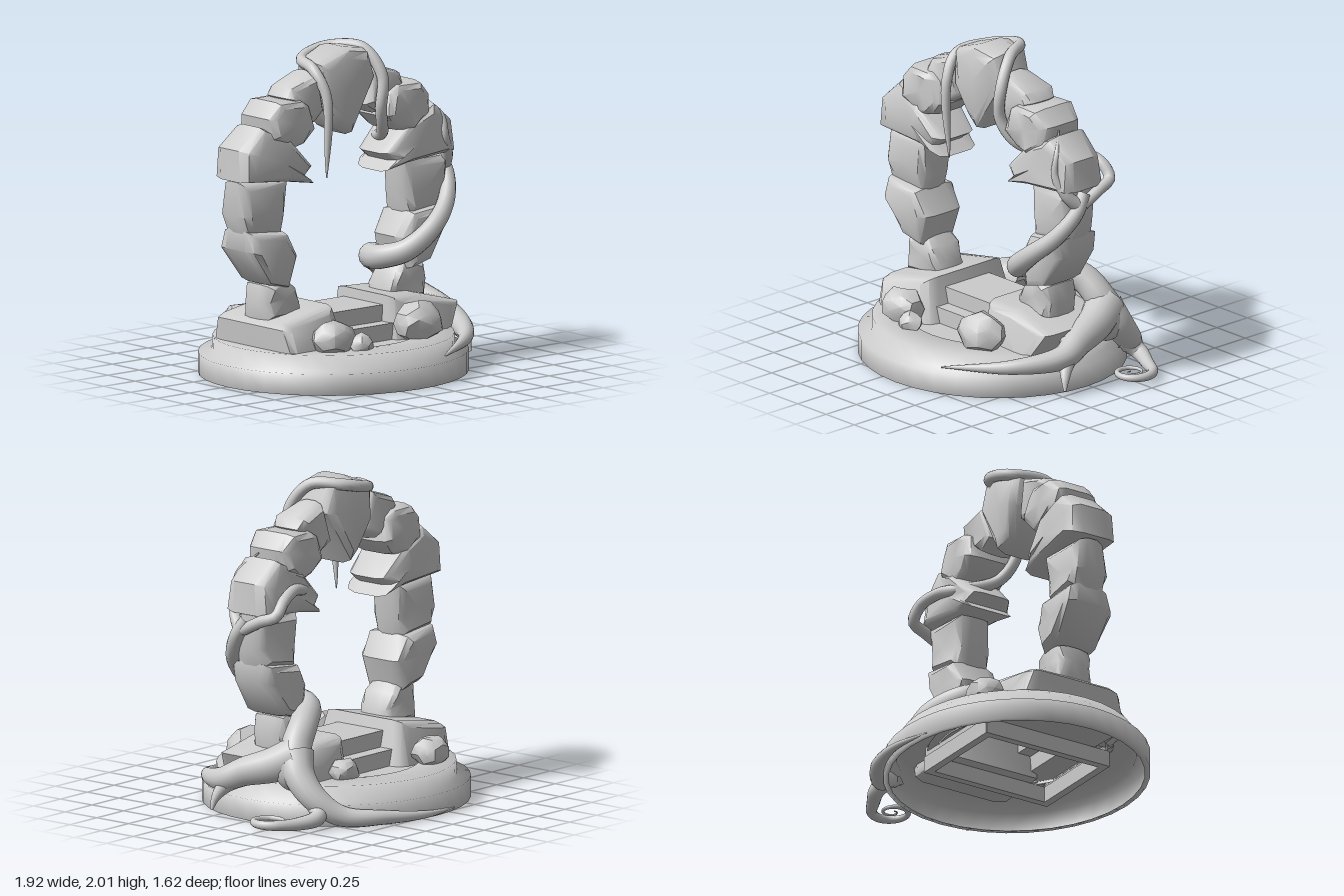
import * as THREE from 'three';
import { toCreasedNormals } from 'three/addons/utils/BufferGeometryUtils.js';

const grey = new THREE.MeshStandardMaterial({ color: 0xcccccc });
const greyOpen = new THREE.MeshStandardMaterial({ color: 0xcccccc, side: THREE.DoubleSide });
const axisX = -0.12; // the arch is symmetrical about this x

function add(parent, name, geometry, material = grey) {
  const mesh = new THREE.Mesh(geometry, material);
  mesh.name = name;
  parent.add(mesh);
  return mesh;
}

// Chiselled stone: a front outline swept through z, rounded in towards both faces.
function stone(outline, back, front) {
  const pts = outline.map(([x, y]) => new THREE.Vector2(x, y));
  if (THREE.ShapeUtils.isClockWise(pts)) pts.reverse();
  const n = pts.length;
  const mid = pts.reduce((s, p) => s.add(p), new THREE.Vector2()).divideScalar(n);
  const levels = [[back, 0.72], [back + 0.025, 0.92], [back + 0.08, 1], [front - 0.08, 1], [front - 0.025, 0.92], [front, 0.72]];
  const last = levels.length - 1;
  const pos = [], index = [];
  levels.forEach(([z, s], k) => pts.forEach((p, i) => {
    const tilt = 0.014 * Math.sin(i * 2.4 + mid.x * 9 + k);
    pos.push(mid.x + (p.x - mid.x) * s, mid.y + (p.y - mid.y) * s, z + tilt);
  }));
  pos.push(mid.x, mid.y, back, mid.x, mid.y, front);
  const hub = n * levels.length;
  for (let i = 0; i < n; i++) {
    const j = (i + 1) % n;
    for (let k = 0; k < last; k++) {
      const a = k * n + i, b = k * n + j;
      index.push(a, b, b + n, a, b + n, a + n);
    }
    index.push(hub, j, i, hub + 1, last * n + i, last * n + j);
  }
  const g = new THREE.BufferGeometry();
  g.setAttribute('position', new THREE.Float32BufferAttribute(pos, 3));
  g.setIndex(index);
  return toCreasedNormals(g, 0.75);
}

// Mound: a wide stone whose front and back lean inward with height.
function mound(outline, back, front) {
  const g = stone(outline, back, front);
  const pos = g.attributes.position;
  for (let i = 0; i < pos.count; i++) pos.setZ(i, pos.getZ(i) * (1.08 - 0.8 * (pos.getY(i) - 0.2)));
  return toCreasedNormals(g, 0.75);
}

// Tube through the points, tapering from radius r0 to r1.
function vine(points, r0, r1, power = 1) {
  const segments = 90, sides = 14;
  const curve = new THREE.CatmullRomCurve3(points.map(p => new THREE.Vector3(...p)));
  const g = new THREE.TubeGeometry(curve, segments, 1, sides);
  const pos = g.attributes.position, v = new THREE.Vector3();
  for (let i = 0; i <= segments; i++) {
    const c = curve.getPointAt(i / segments);
    const r = THREE.MathUtils.lerp(r0, r1, (i / segments) ** power);
    for (let j = 0; j <= sides; j++) {
      const id = i * (sides + 1) + j;
      v.fromBufferAttribute(pos, id).sub(c).multiplyScalar(r).add(c);
      pos.setXYZ(id, v.x, Math.max(v.y, 0), v.z);
    }
  }
  return g;
}

// Loose boulder: an icosahedron pushed in and out by a fixed rule.
function boulder(w, h, d, seed) {
  const g = new THREE.IcosahedronGeometry(1, 1);
  const pos = g.attributes.position, v = new THREE.Vector3();
  for (let i = 0; i < pos.count; i++) {
    v.fromBufferAttribute(pos, i);
    const f = 1 + 0.13 * Math.sin(v.x * 4 + seed) * Math.cos(v.y * 3 + v.z * 4 + seed * 2);
    pos.setXYZ(i, v.x * f * w, v.y * f * h, v.z * f * d);
  }
  return toCreasedNormals(g, 0.6);
}

function addBase(model) {
  // Stepped round base, hollow underneath
  const base = new THREE.Group();
  base.name = 'base';
  base.position.set(axisX, 0, 0.02);
  base.scale.z = 0.95;
  model.add(base);
  const profile = [[0.8, 0], [0.835, 0], [0.835, 0.13], [0.75, 0.135], [0.745, 0.23], [0.52, 0.23], [0.5, 0.16]];
  add(base, 'baseRing', new THREE.LatheGeometry(profile.map(p => new THREE.Vector2(...p)), 36), greyOpen);

  // Floor round the steps, open below them
  const floor = new THREE.Shape().absarc(0, 0, 0.56, 0, Math.PI * 2);
  floor.holes.push(new THREE.Path([[-0.32, -0.44], [-0.32, 0.44], [0.32, 0.44], [0.32, -0.44]].map(p => new THREE.Vector2(...p))));
  add(base, 'baseFloor', new THREE.ShapeGeometry(floor, 18).rotateX(-Math.PI / 2), greyOpen).position.y = 0.17;

  // Hollow steps under the arch: half a profile in depth and height, mirrored and given a thickness
  const half = [[0.44, 0.1], [0.44, 0.2], [0.27, 0.2], [0.27, 0.3], [0.18, 0.3], [0.18, 0.4]];
  const outer = [...half, ...half.map(([z, y]) => [-z, y]).reverse()];
  const inner = outer.map(([z, y]) => [z - Math.sign(z) * 0.02, y === 0.1 ? y : y - 0.02]).reverse();
  const shell = new THREE.Shape([...outer, ...inner].map(p => new THREE.Vector2(...p)));
  const steps = new THREE.ExtrudeGeometry(shell, { depth: 0.66, bevelEnabled: false });
  add(model, 'steps', steps.translate(0, 0, -0.33).rotateY(Math.PI / 2).translate(axisX, 0, 0.02));

  // Rectangular frame under the floor
  for (const s of [-1, 1]) {
    add(model, 'underFrameSide', new THREE.BoxGeometry(0.05, 0.1, 0.88)).position.set(axisX + s * 0.32, 0.09, 0.02);
    add(model, 'underFrameEnd', new THREE.BoxGeometry(0.68, 0.1, 0.05)).position.set(axisX, 0.09, 0.02 + s * 0.42);
  }

  // Rock mounds carrying the arch
  add(model, 'mound', mound([[-0.76, 0.14], [-0.79, 0.37], [-0.75, 0.4], [-0.36, 0.47], [-0.28, 0.14]], -0.33, 0.36));
  add(model, 'mound', mound([[0.1, 0.14], [0.12, 0.46], [0.35, 0.45], [0.66, 0.37], [0.52, 0.14]], -0.28, 0.33));

  // Loose boulders: x, z, radius
  [[-0.47, 0.43, 0.145], [-0.32, 0.51, 0.085], [0.21, 0.42, 0.165], [-0.46, -0.44, 0.13], [0.22, -0.33, 0.1]].forEach(([x, z, r], i) => {
    add(model, 'boulder', boulder(r, r * 0.78, r * 0.8, i * 1.7)).position.set(x, 0.2 + r * 0.68, z);
  });
}

function addArch(model) {
  // Stones of one side from the foot up, mirrored to the other
  const slim = [-0.09, 0.15], wide = [-0.13, 0.2];
  const side = [
    [slim, [[-0.77, 0.5], [-0.75, 0.39], [-0.46, 0.39], [-0.47, 0.48], [-0.52, 0.58], [-0.6, 0.66], [-0.74, 0.61]]],
    [wide, [[-0.75, 0.62], [-0.91, 0.84], [-0.9, 0.96], [-0.62, 0.93], [-0.53, 0.78], [-0.59, 0.58]]],
    [slim, [[-0.9, 0.94], [-0.94, 1.05], [-0.93, 1.26], [-0.58, 1.25], [-0.59, 1.02], [-0.62, 0.9]]],
    [wide, [[-0.96, 1.27], [-0.95, 1.46], [-0.8, 1.59], [-0.6, 1.5], [-0.4, 1.31], [-0.47, 1.26], [-0.4, 1.2], [-0.58, 1.23]]],
    [wide, [[-0.77, 1.64], [-0.75, 1.51], [-0.62, 1.42], [-0.48, 1.45], [-0.4, 1.54], [-0.43, 1.69], [-0.5, 1.73], [-0.68, 1.73]]],
    [slim, [[-0.59, 1.74], [-0.55, 1.8], [-0.34, 1.87], [-0.27, 1.62], [-0.37, 1.56], [-0.48, 1.64]]],
  ];
  for (const [[back, front], outline] of side) {
    add(model, 'archStone', stone(outline, back, front));
    add(model, 'archStone', stone(outline.map(([x, y]) => [2 * axisX - x, y]), back, front));
  }
  add(model, 'keystone', stone([[-0.33, 1.92], [-0.12, 2], [0.05, 1.97], [0.11, 1.8], [-0.1, 1.46], [-0.2, 1.51], [-0.31, 1.7]], -0.12, 0.18));
}

function addVines(model) {
  // Thick root winding up the right pillar
  add(model, 'rootTrunk', vine([
    [0.6, 0.36, -0.28], [0.56, 0.46, -0.24], [0.45, 0.57, -0.2], [0.28, 0.64, -0.09], [0.22, 0.66, 0.05], [0.3, 0.71, 0.2],
    [0.46, 0.83, 0.25], [0.63, 0.98, 0.19], [0.71, 1.13, 0.1], [0.7, 1.24, 0.03],
  ], 0.1, 0.04));
  const knot = new THREE.SphereGeometry(1, 24, 16).scale(0.105, 0.15, 0.13);
  add(model, 'rootKnot', knot).position.set(0.6, 0.35, -0.25);

  // Roots spreading over the edge of the base
  add(model, 'rootBackBranch', vine([
    [0.58, 0.42, -0.25], [0.62, 0.3, -0.32], [0.6, 0.17, -0.43], [0.5, 0.07, -0.55], [0.3, 0.05, -0.7], [0, 0.03, -0.785], [-0.31, 0.015, -0.75],
  ], 0.115, 0.004, 0.75));
  add(model, 'rootFrontBranch', vine([
    [0.57, 0.42, -0.27], [0.63, 0.35, -0.13], [0.68, 0.29, 0.06], [0.7, 0.23, 0.2], [0.55, 0.19, 0.46], [0.17, 0.15, 0.71],
  ], 0.125, 0.004));
  add(model, 'rootSpur', vine([[0.67, 0.28, 0.09], [0.72, 0.19, 0.19], [0.755, 0.11, 0.235], [0.77, 0.04, 0.25]], 0.085, 0.008));

  // Root ending in a flat spiral
  const curl = [[0.58, 0.17, -0.4], [0.64, 0.08, -0.48], [0.77, 0.05, -0.43]];
  for (let i = 0; i <= 16; i++) {
    const a = -0.9 + i * 0.65, r = 0.125 * (1 - i / 18);
    curl.push([0.815 + r * Math.cos(a), 0.05, -0.26 + r * Math.sin(a)]);
  }
  add(model, 'rootCurl', vine(curl, 0.08, 0.004, 0.45));

  // Thin vines on the upper arch
  add(model, 'frontTendril', vine([[0.71, 1.16, 0.07], [0.67, 1.25, 0.15], [0.62, 1.37, 0.19], [0.61, 1.5, 0.17], [0.53, 1.61, 0.08]], 0.045, 0.004));
  add(model, 'archVine', vine([
    [0.71, 1.17, 0.05], [0.71, 1.24, -0.09], [0.69, 1.28, -0.19], [0.62, 1.36, -0.19], [0.48, 1.4, -0.15], [0.32, 1.38, -0.09], [0.2, 1.44, 0.1],
    [0.12, 1.6, 0.18], [0.13, 1.8, 0.18], [0.08, 1.96, 0.06], [-0.02, 1.965, -0.11], [-0.14, 1.94, -0.15], [-0.27, 1.91, -0.1],
    [-0.345, 1.88, 0.1], [-0.33, 1.73, 0.2], [-0.32, 1.23, 0.19],
  ], 0.036, 0.003, 11));
}

// A ruined stone arch on a round base, overgrown by a root
export function createModel() {
  const model = new THREE.Group();
  addBase(model);
  addArch(model);
  addVines(model);
  return model;
}
